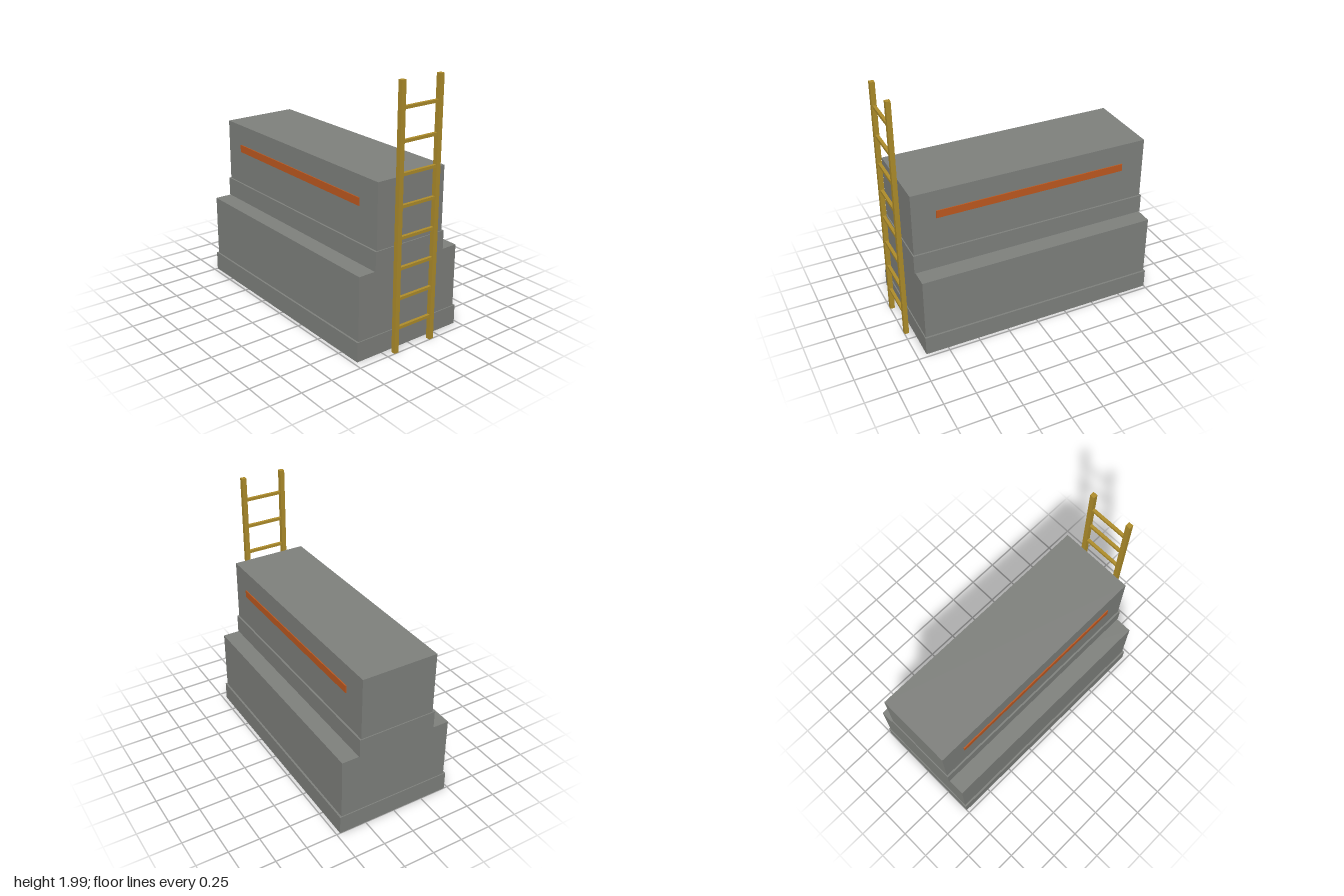
import * as THREE from 'three';

const material = (name, color) => {
  const m = new THREE.MeshStandardMaterial({ color });
  m.name = name;
  return m;
};

export function createModel() {
  const model = new THREE.Group();
  model.name = 'steppedBlockWithLadder';
  const stone = material('stone grey', 0x80827e);
  const wood = material('ochre wood', 0xb08e2b);
  const rust = material('rust orange', 0xc05a20);

  // Box given by its limits on each axis
  const box = (name, mat, [x0, x1], [y0, y1], [z0, z1], parent = model) => {
    const mesh = new THREE.Mesh(new THREE.BoxGeometry(x1 - x0, y1 - y0, z1 - z0), mat);
    mesh.position.set((x0 + x1) / 2, (y0 + y1) / 2, (z0 + z1) / 2);
    mesh.name = name;
    parent.add(mesh);
    return mesh;
  };

  // Stepped body: wide lower block and narrow upper block, each on a plinth
  const tiers = [
    ['basePlinth', 0.471, 0, 0.153, -1, 0.928],
    ['lowerBlock', 0.456, 0.153, 0.652, -0.992, 0.92],
    ['upperPlinth', 0.318, 0.652, 0.803, -1, 0.928],
    ['upperBlock', 0.304, 0.803, 1.302, -0.992, 0.92],
  ];
  for (const [name, half, y0, y1, z0, z1] of tiers) {
    box(name, stone, [-half, half], [y0, y1], [z0, z1]);
  }

  // Thin stripes just off the upper side walls
  box('leftStripe', rust, [0.309, 0.317], [1.08, 1.14], [-0.8, 0.735]);
  box('rightStripe', rust, [-0.317, -0.309], [1.08, 1.14], [-0.8, 0.735]);

  // Ladder standing in front
  const ladder = new THREE.Group();
  ladder.name = 'ladder';
  model.add(ladder);
  box('leftRail', wood, [0.15, 0.187], [0, 1.99], [0.964, 1], ladder);
  box('rightRail', wood, [-0.187, -0.15], [0, 1.99], [0.964, 1], ladder);
  for (let i = 0; i < 8; i++) {
    const y = 0.192 + i * 0.23;
    box('rung', wood, [-0.15, 0.15], [y - 0.011, y + 0.011], [0.97, 0.994], ladder);
  }
  return model;
}
